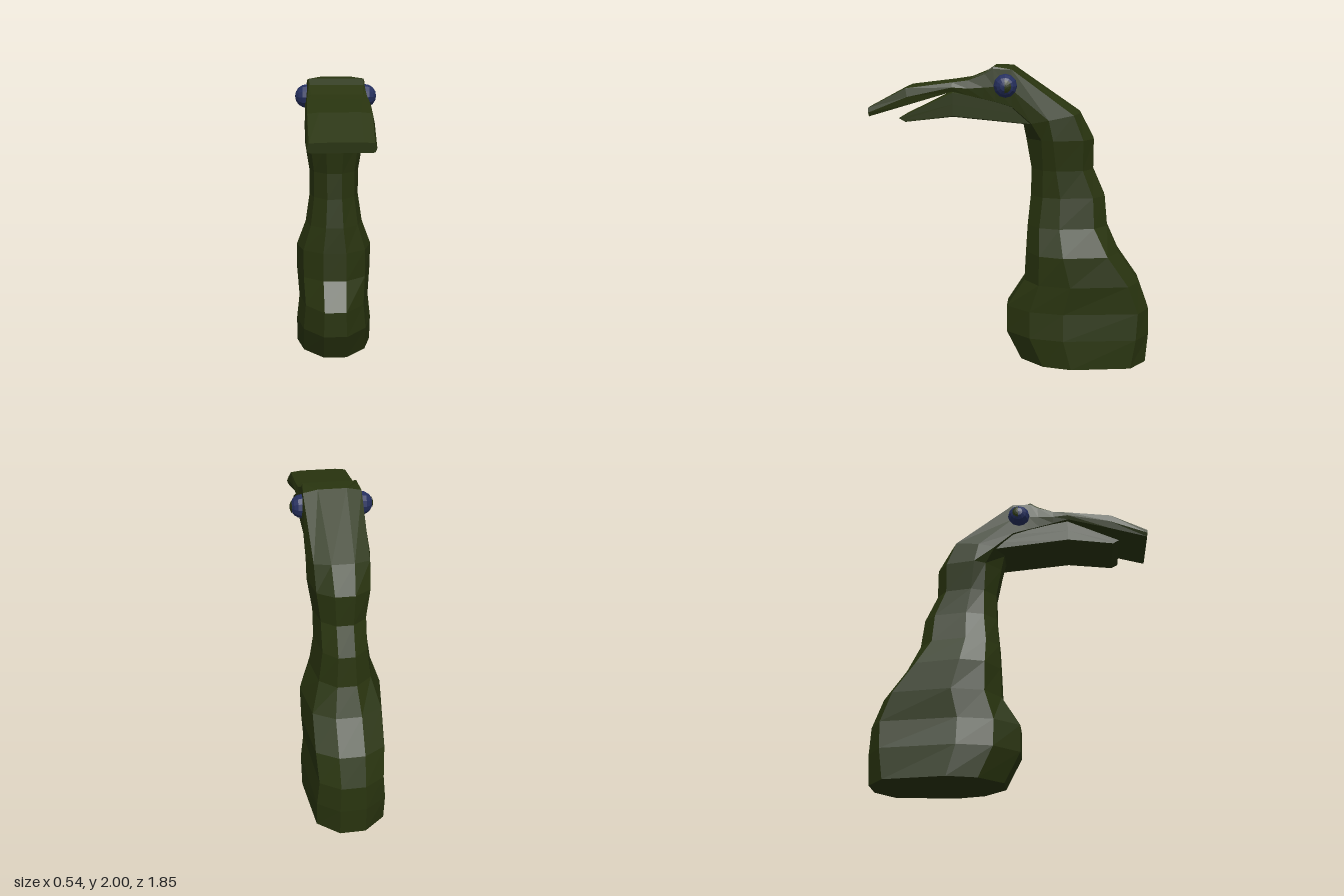
import * as THREE from 'three';

const green = new THREE.MeshStandardMaterial({ color: 0x29340f, flatShading: true });
green.name = 'dark olive skin';
const blue = new THREE.MeshStandardMaterial({ color: 0x26305f, flatShading: true });
blue.name = 'navy eye';

// Ten-sided ring between a front/bottom point and a back/top point, both [z, y].
// tf, tm, tb: how far along the ring the front bevel, widest point and back bevel sit.
function ring(front, back, { xf = 0.07, xfb = 0.2, hw = 0.2, xbb = 0.2, xb = 0.07, tf = 0.1, tm = 0.4, tb = 0.9 }) {
  const half = [[xf, 0], [xfb, tf], [hw, tm], [xbb, tb], [xb, 1]].map(([x, t]) => new THREE.Vector3(
    x, THREE.MathUtils.lerp(front[1], back[1], t), THREE.MathUtils.lerp(front[0], back[0], t)));
  const other = half.map(p => new THREE.Vector3(-p.x, p.y, p.z)).reverse();
  return [...half, ...other];
}

// Skin joining the rings, closed at both ends
function loft(rings, name) {
  const pos = [];
  const tri = (...pts) => pts.forEach(p => pos.push(p.x, p.y, p.z));
  const n = rings[0].length;
  for (let r = 0; r < rings.length - 1; r++) {
    const a = rings[r], b = rings[r + 1];
    for (let i = 0; i < n; i++) {
      const j = (i + 1) % n;
      tri(a[i], a[j], b[j]);
      tri(a[i], b[j], b[i]);
    }
  }
  const first = rings[0], last = rings[rings.length - 1];
  for (let i = 1; i < n - 1; i++) {
    tri(first[0], first[i + 1], first[i]);
    tri(last[0], last[i], last[i + 1]);
  }
  const geo = new THREE.BufferGeometry();
  geo.setAttribute('position', new THREE.Float32BufferAttribute(pos, 3));
  geo.computeVertexNormals();
  const mesh = new THREE.Mesh(geo, green);
  mesh.name = name;
  return mesh;
}

export function createModel() {
  const model = new THREE.Group();
  model.name = 'longNeckedBird';

  // Neck rings: height, front z, front bevel z, back bevel z, back z, half width
  const neck = [
    [0, -0.06, -0.21, -0.8, -0.91, 0.27],
    [0.2, 0.04, -0.12, -0.83, -0.925, 0.27],
    [0.38, 0.04, -0.12, -0.84, -0.92, 0.25],
    [0.57, -0.08, -0.18, -0.77, -0.85, 0.265],
    [0.77, -0.09, -0.18, -0.63, -0.71, 0.265],
    [0.95, -0.1, -0.18, -0.54, -0.63, 0.2],
    [1.15, -0.12, -0.2, -0.53, -0.61, 0.17],
    [1.33, -0.125, -0.2, -0.46, -0.53, 0.17],
    [1.53, -0.09, -0.19, -0.46, -0.53, 0.2],
  ].map(([y, f, fb, bb, b, hw]) => ring([f, y], [b, y], {
    hw, xf: hw * 0.3, xfb: hw * 0.82, xbb: hw * 0.82, xb: hw * 0.31,
    tf: (fb - f) / (b - f), tb: (bb - f) / (b - f),
  }));

  // Head and upper beak: underside point, top point, half width, flat top half width
  const head = [
    [[-0.07, 1.63], [-0.44, 1.7], 0.2, 0.07],
    [[0, 1.74], [0, 2], 0.195, 0.09],
    [[0.1, 1.77], [0.12, 2], 0.19, 0.17],
    [[0.18, 1.79], [0.17, 1.965], 0.19, 0.17],
    [[0.28, 1.815], [0.28, 1.92], 0.195, 0.16],
    [[0.38, 1.84], [0.38, 1.905], 0.2, 0.15],
    [[0.66, 1.757], [0.68, 1.87], 0.2, 0.12],
    [[0.92, 1.68], [0.925, 1.74], 0.195, 0.12],
  ].map(([low, top, hw, xb], i) => ring(low, top, {
    hw, xb, xf: i ? 0.15 : 0.07, xfb: hw - 0.01, xbb: hw - (i === 0 ? 0.03 : 0.012),
    tf: i ? 0.03 : 0.15, tm: 0.45, tb: i === 0 ? 0.88 : 0.93,
  }));
  model.add(loft([...neck, ...head], 'neckHeadAndUpperBeak'));

  // Lower beak
  const jaw = [
    [[-0.14, 1.63], [-0.2, 1.74], 0.17],
    [[0.38, 1.68], [0.38, 1.84], 0.175],
    [[0.685, 1.645], [0.73, 1.67], 0.17],
  ].map(([low, top, hw]) => ring(low, top, {
    hw, xf: hw - 0.01, xfb: hw, xbb: hw, xb: hw - 0.01, tf: 0.04, tm: 0.5, tb: 0.96,
  }));
  model.add(loft(jaw, 'lowerBeak'));

  // Eyes, each with a half-round fleck on the outer face
  for (const side of [1, -1]) {
    const eye = new THREE.Group();
    eye.name = side > 0 ? 'leftEye' : 'rightEye';
    eye.position.set(side * 0.185, 1.88, 0.04);
    const ball = new THREE.Mesh(new THREE.SphereGeometry(0.076, 12, 8), blue);
    ball.name = 'eyeball';
    ball.rotation.z = -side * Math.PI / 2;
    const fleck = new THREE.Mesh(
      new THREE.SphereGeometry(0.079, 6, 3, Math.PI, Math.PI, 0, 0.55), green);
    fleck.name = 'eyeFleck';
    fleck.rotation.z = -side * Math.PI / 2;
    eye.add(ball, fleck);
    model.add(eye);
  }
  return model;
}
